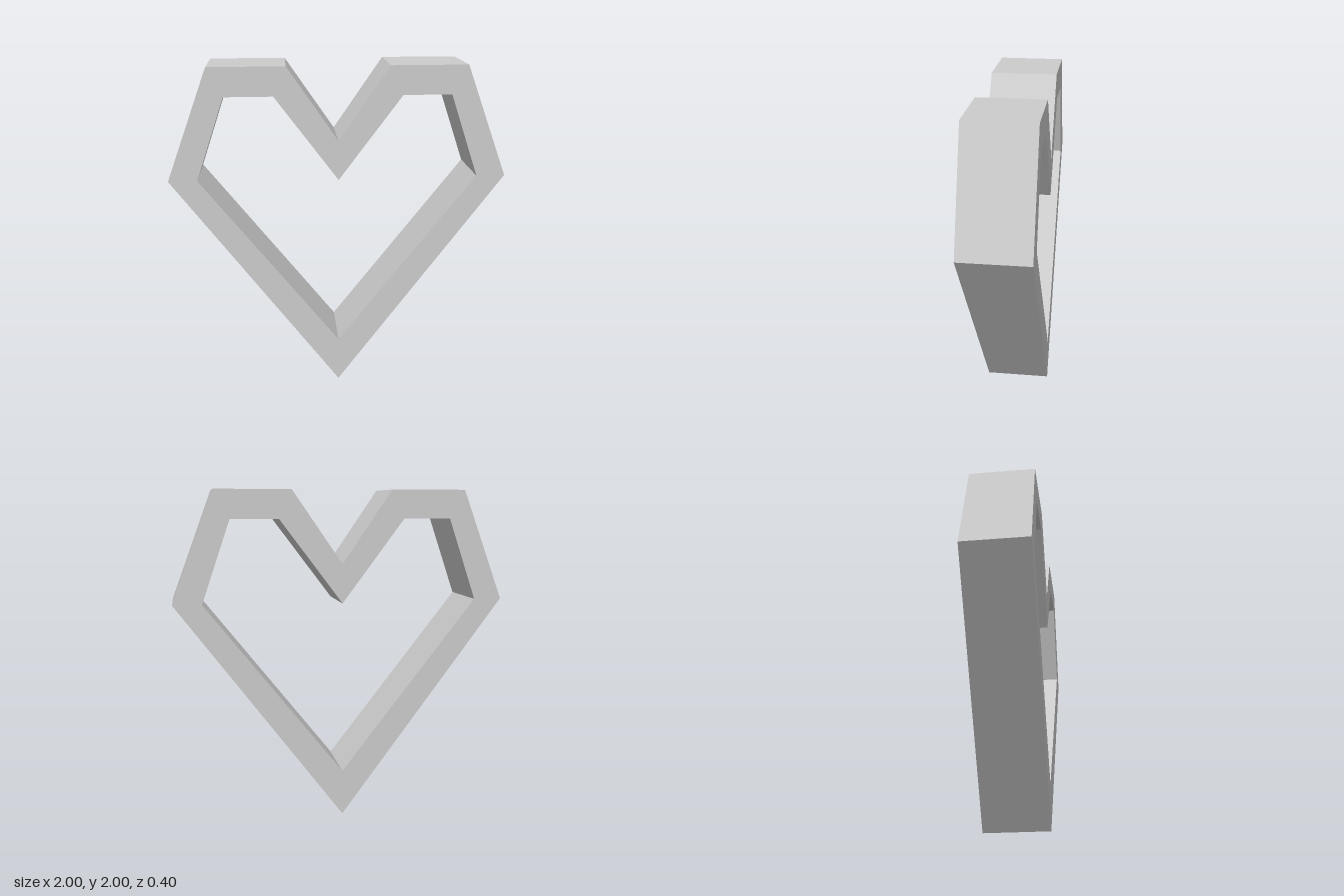
import * as THREE from 'three';

// Right half of each outline, from the bottom tip up to the notch
const OUTER = [[0, 0], [1, 1.34], [0.75, 2], [0.3, 2], [0, 1.565]];
const INNER = [[0, 0.28], [0.83, 1.34], [0.66, 1.83], [0.375, 1.83], [0, 1.33]];
const DEPTH = 0.4;

// Mirror a half outline across x = 0 into a closed loop
function mirrored(half) {
  const left = half.slice(1, -1).reverse().map(([x, y]) => [-x, y]);
  return [...half, ...left].map(([x, y]) => new THREE.Vector2(x, y));
}

export function createModel() {
  const group = new THREE.Group();
  group.name = 'heart';

  // Heart-shaped frame with a heart-shaped opening
  const shape = new THREE.Shape(mirrored(OUTER));
  shape.holes.push(new THREE.Path(mirrored(INNER)));
  const geometry = new THREE.ExtrudeGeometry(shape, { depth: DEPTH, bevelEnabled: false });
  geometry.translate(0, 0, -DEPTH / 2);

  const frame = new THREE.Mesh(
    geometry,
    new THREE.MeshStandardMaterial({ color: 0xcccccc, flatShading: true })
  );
  frame.name = 'heartFrame';
  group.add(frame);
  return group;
}
